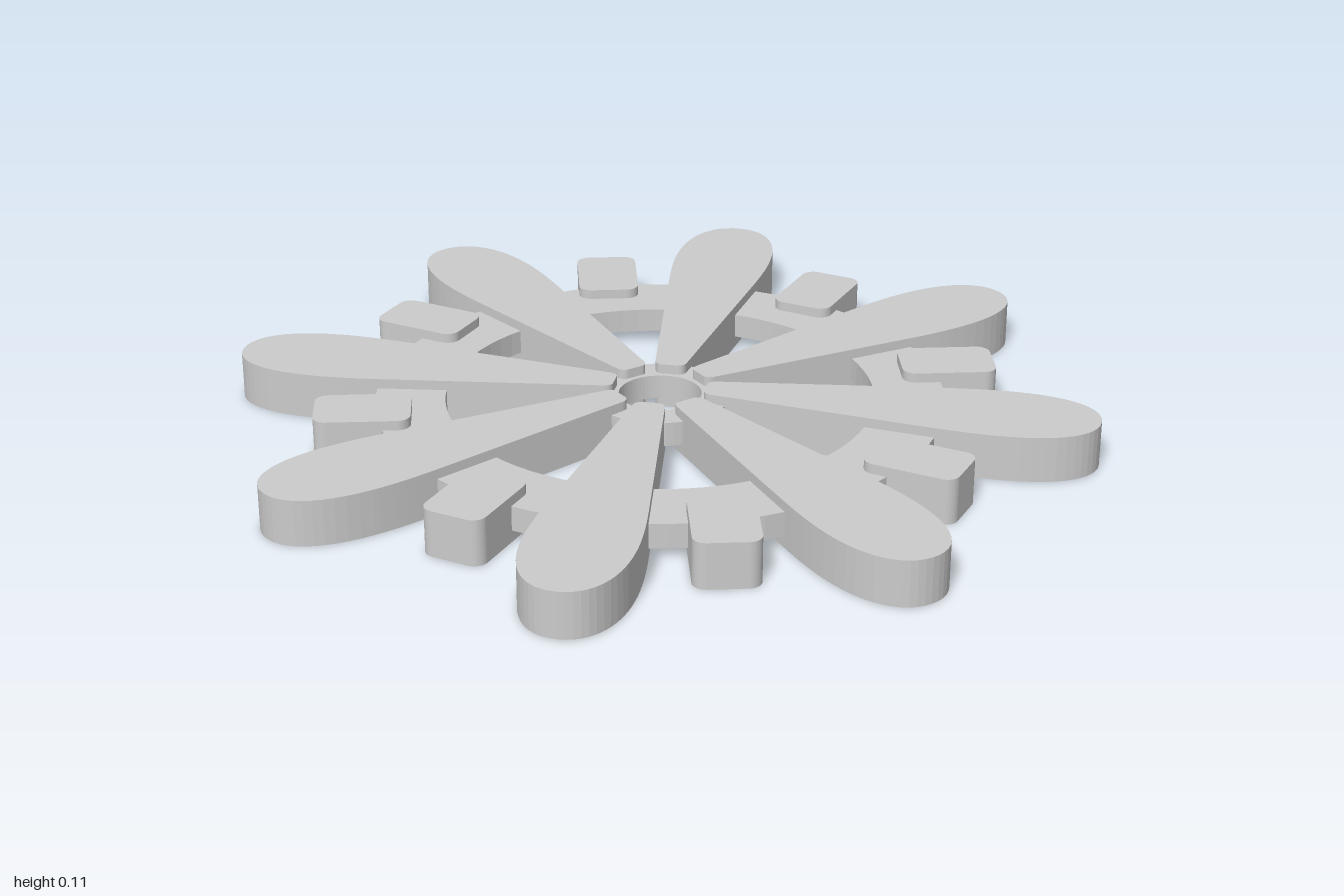
import * as THREE from 'three';

const HEIGHT = 0.107;
const material = new THREE.MeshStandardMaterial({ color: 0xcccccc });

// Extrude a flat shape upwards from y = bottom; shape +y points to -z.
function slab(shape, bottom, height, curveSegments = 12) {
  const geometry = new THREE.ExtrudeGeometry(shape, { depth: height, bevelEnabled: false, curveSegments });
  geometry.rotateX(-Math.PI / 2);
  geometry.translate(0, bottom, 0);
  return geometry;
}

function addPart(group, name, geometry, angle = 0) {
  const mesh = new THREE.Mesh(geometry, material);
  mesh.name = name;
  mesh.rotation.y = angle;
  group.add(mesh);
  return mesh;
}

// Teardrop pointing along +x, narrow at the hub and round at the tip
function petalShape() {
  const s = new THREE.Shape();
  s.moveTo(0.125, -0.037);
  s.lineTo(0.62, -0.106);
  s.bezierCurveTo(0.7, -0.117, 0.75, -0.121, 0.8, -0.12);
  s.bezierCurveTo(0.93, -0.117, 1, -0.07, 1, 0);
  s.bezierCurveTo(1, 0.07, 0.93, 0.117, 0.8, 0.12);
  s.bezierCurveTo(0.75, 0.121, 0.7, 0.117, 0.62, 0.106);
  s.lineTo(0.125, 0.037);
  s.quadraticCurveTo(0.108, 0.034, 0.106, 0.02);
  s.lineTo(0.106, -0.02);
  s.quadraticCurveTo(0.108, -0.034, 0.125, -0.037);
  return s;
}

function ringShape(inner, outer) {
  const s = new THREE.Shape().absarc(0, 0, outer, 0, Math.PI * 2, false);
  s.holes.push(new THREE.Path().absarc(0, 0, inner, 0, Math.PI * 2, true));
  return s;
}

// Rectangle with rounded corners, centred on the origin
function blockShape(a, b, r) {
  const s = new THREE.Shape();
  s.absarc(a - r, b - r, r, 0, Math.PI / 2, false);
  s.absarc(r - a, b - r, r, Math.PI / 2, Math.PI, false);
  s.absarc(r - a, r - b, r, Math.PI, Math.PI * 1.5, false);
  s.absarc(a - r, r - b, r, Math.PI * 1.5, Math.PI * 2, false);
  s.closePath();
  return s;
}

export function createModel() {
  const model = new THREE.Group();
  model.name = 'flowerOrnament';

  // Thin connecting rings
  addPart(model, 'hubRing', slab(ringShape(0.095, 0.163), 0.027, 0.057, 32));
  addPart(model, 'outerRing', slab(ringShape(0.49, 0.65), 0.027, 0.057, 40));

  // Eight full-height petals
  const petal = slab(petalShape(), 0, HEIGHT);
  for (let i = 0; i < 8; i++) addPart(model, 'petal', petal, (i * Math.PI) / 4);

  // Rounded blocks between the petals, in mirrored pairs per quarter
  const block = slab(blockShape(0.109, 0.073, 0.03), 0, HEIGHT, 6);
  for (let q = 0; q < 4; q++) {
    for (const [place, turn] of [[22, 30], [68, 60]]) {
      const at = THREE.MathUtils.degToRad(q * 90 + place);
      const mesh = addPart(model, 'block', block, THREE.MathUtils.degToRad(q * 90 + turn));
      mesh.position.set(0.68 * Math.cos(at), 0, -0.68 * Math.sin(at));
    }
  }
  return model;
}
